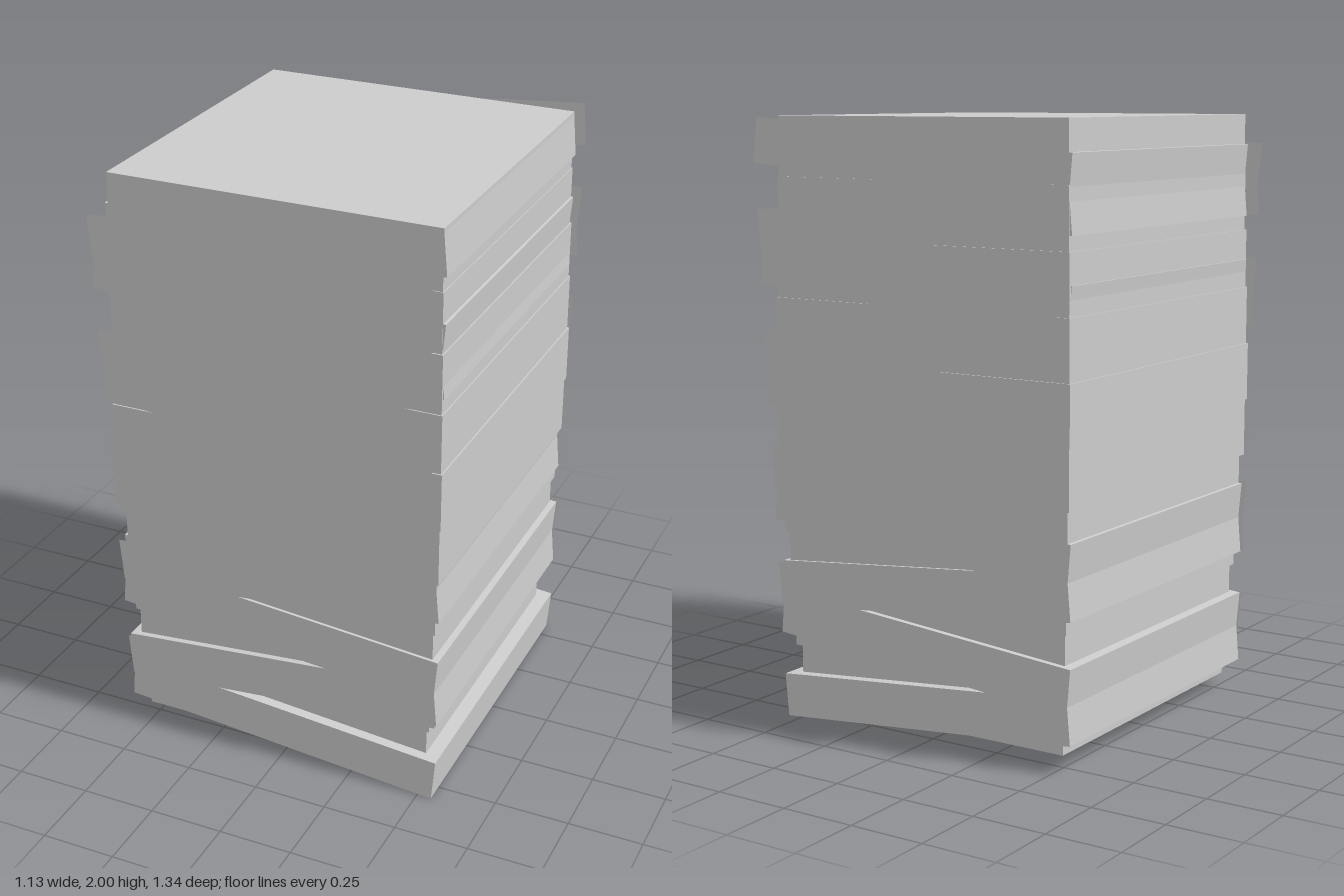
import * as THREE from 'three';

const STEP = 0.195;
const TILT = THREE.MathUtils.degToRad(5);
const SLAB = { width: 1.115, height: 0.145, depth: 1.13 };
// half width of each core block, bottom to top (a gentle barrel)
const CORE = [0.515, 0.53, 0.54, 0.55, 0.562, 0.567, 0.562, 0.558, 0.553, 0.55];

export function createModel() {
  const group = new THREE.Group();
  const grey = new THREE.MeshStandardMaterial({ color: 0xcccccc, side: THREE.DoubleSide });
  grey.name = 'light grey';

  const add = (name, geometry, x, y, z, tilt = 0) => {
    const mesh = new THREE.Mesh(geometry, grey);
    mesh.name = name;
    mesh.position.set(x, y, z);
    mesh.rotation.z = tilt;
    group.add(mesh);
  };

  const slab = new THREE.BoxGeometry(SLAB.width, SLAB.height, SLAB.depth);
  const strip = new THREE.PlaneGeometry(SLAB.width, SLAB.height);

  CORE.forEach((half, i) => {
    // straight core block
    const core = new THREE.BoxGeometry(half * 2, STEP, half * 2 + 0.03);
    add('coreBlock', core, 0, 0.05 + STEP * (i + 0.5), 0);

    // slab leaning alternately right and left
    const y = 0.121 + STEP * i;
    const tilt = i % 2 ? TILT : -TILT;
    add('tiltedSlab', slab, 0, y, 0, tilt);

    // thin facing strips, standing further off the faces towards the top
    const z = SLAB.depth / 2 + 0.001 + 0.0117 * i;
    add('frontStrip', strip, 0, y, z, tilt);
    const back = strip.clone().rotateY(Math.PI);
    add('backStrip', back, 0, y, -z, tilt);
  });

  return group;
}
